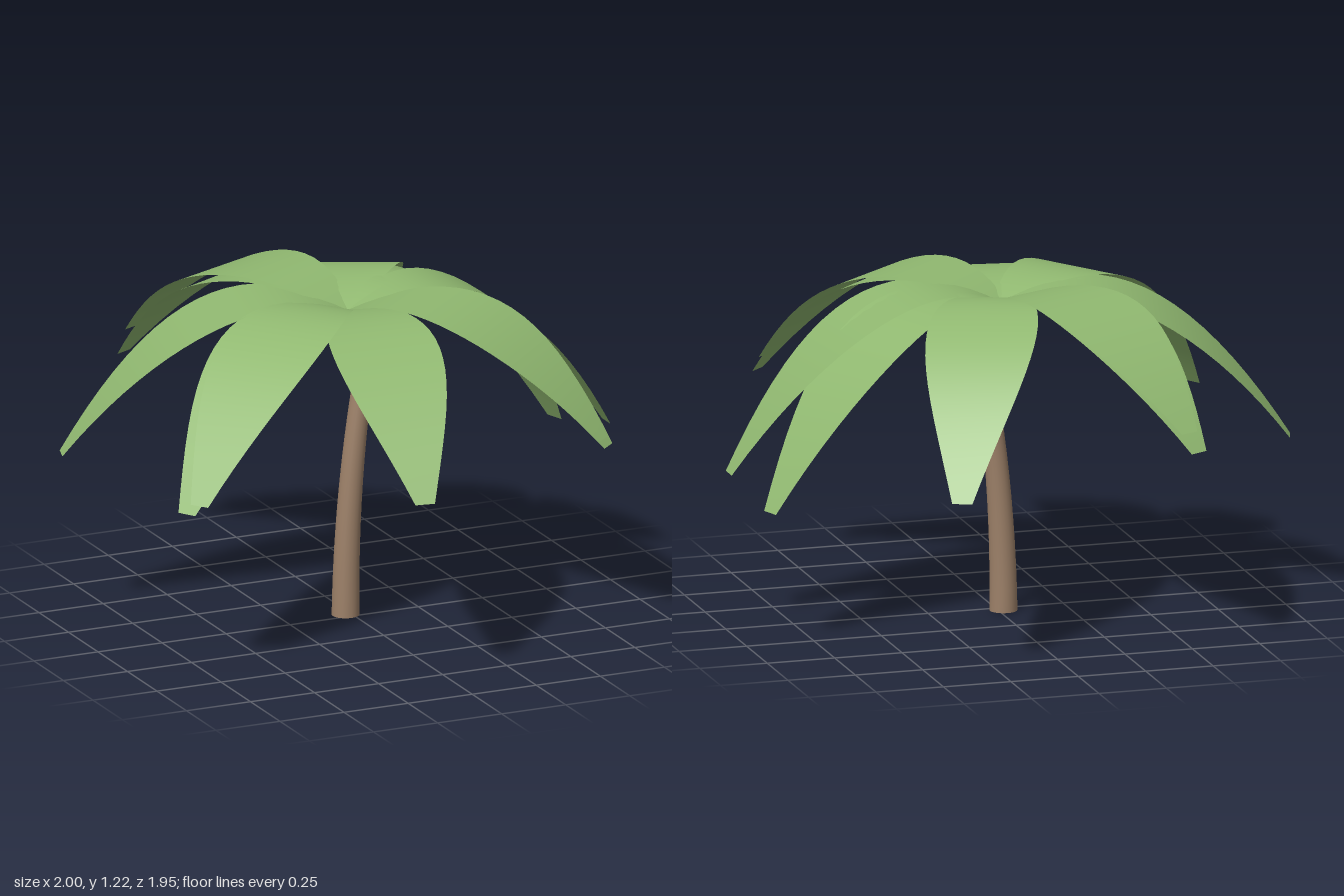
import * as THREE from 'three';

const CROWN = { x: -0.01, y: 1.13, z: -0.035 };

// Each frond: [heading in degrees, reach, tip height, rise at the root]
const FRONDS = [
  [0, 1.01, 0.58, 0.545],
  [18.5, 1.007, 0.51, 0.55],
  [65.1, 1.01, 0.65, 0.52],
  [114, 1.018, 0.85, 0.544],
  [116.6, 1.017, 0.77, 0.53],
  [163, 1.025, 0.64, 0.48],
  [211.3, 1.019, 0.64, 0.48],
  [214.3, 1.02, 0.68, 0.49],
  [261, 1.017, 0.72, 0.41],
  [309.3, 1.008, 0.79, 0.53],
  [312.2, 1.005, 0.75, 0.52],
];

// Lens-shaped sheet, flat across, rising from the root then drooping to a blunt tip
function frondGeometry(reach, tipY, rise) {
  const geo = new THREE.PlaneGeometry(2, 1, 2, 20);
  const p = geo.attributes.position;
  const droop = (CROWN.y + rise * reach - tipY) / (reach * reach);
  for (let i = 0; i < p.count; i++) {
    const side = p.getX(i);
    const t = p.getY(i) + 0.5;
    const r = t * reach;
    const halfWidth = 0.036 + 0.16 * Math.sin(Math.PI * t);
    p.setXYZ(i, r, rise * r - droop * r * r, side * halfWidth);
  }
  geo.computeVertexNormals();
  return geo;
}

// Tapered cylinder leaning further to the side with height
function trunkGeometry() {
  const height = 1.15;
  const geo = new THREE.CylinderGeometry(0.032, 0.05, height, 20, 14);
  geo.translate(0, height / 2, 0);
  const p = geo.attributes.position;
  for (let i = 0; i < p.count; i++) {
    const y = p.getY(i);
    p.setX(i, p.getX(i) - 0.02 + 0.09 * y * y);
  }
  geo.computeVertexNormals();
  // Hide the shading seam where the side wraps around
  const n = geo.attributes.normal;
  for (let row = 0; row <= 14; row++) {
    const a = row * 21, b = a + 20;
    const v = new THREE.Vector3().fromBufferAttribute(n, a)
      .add(new THREE.Vector3().fromBufferAttribute(n, b)).normalize();
    n.setXYZ(a, v.x, v.y, v.z);
    n.setXYZ(b, v.x, v.y, v.z);
  }
  return geo;
}

export function createModel() {
  const leafGreen = new THREE.MeshStandardMaterial({ color: 0x90b870, side: THREE.DoubleSide });
  leafGreen.name = 'leafGreen';
  const barkBrown = new THREE.MeshStandardMaterial({ color: 0x9c8068 });
  barkBrown.name = 'barkBrown';

  const palm = new THREE.Group();
  palm.name = 'palmTree';

  const trunk = new THREE.Mesh(trunkGeometry(), barkBrown);
  trunk.name = 'trunk';
  trunk.position.z = -0.03;
  palm.add(trunk);

  const crown = new THREE.Group();
  crown.name = 'crown';
  crown.position.set(CROWN.x, CROWN.y, CROWN.z);
  for (const [heading, reach, tipY, rise] of FRONDS) {
    const frond = new THREE.Mesh(frondGeometry(reach, tipY, rise), leafGreen);
    frond.name = 'frond';
    frond.rotation.y = THREE.MathUtils.degToRad(heading);
    crown.add(frond);
  }
  palm.add(crown);
  return palm;
}
